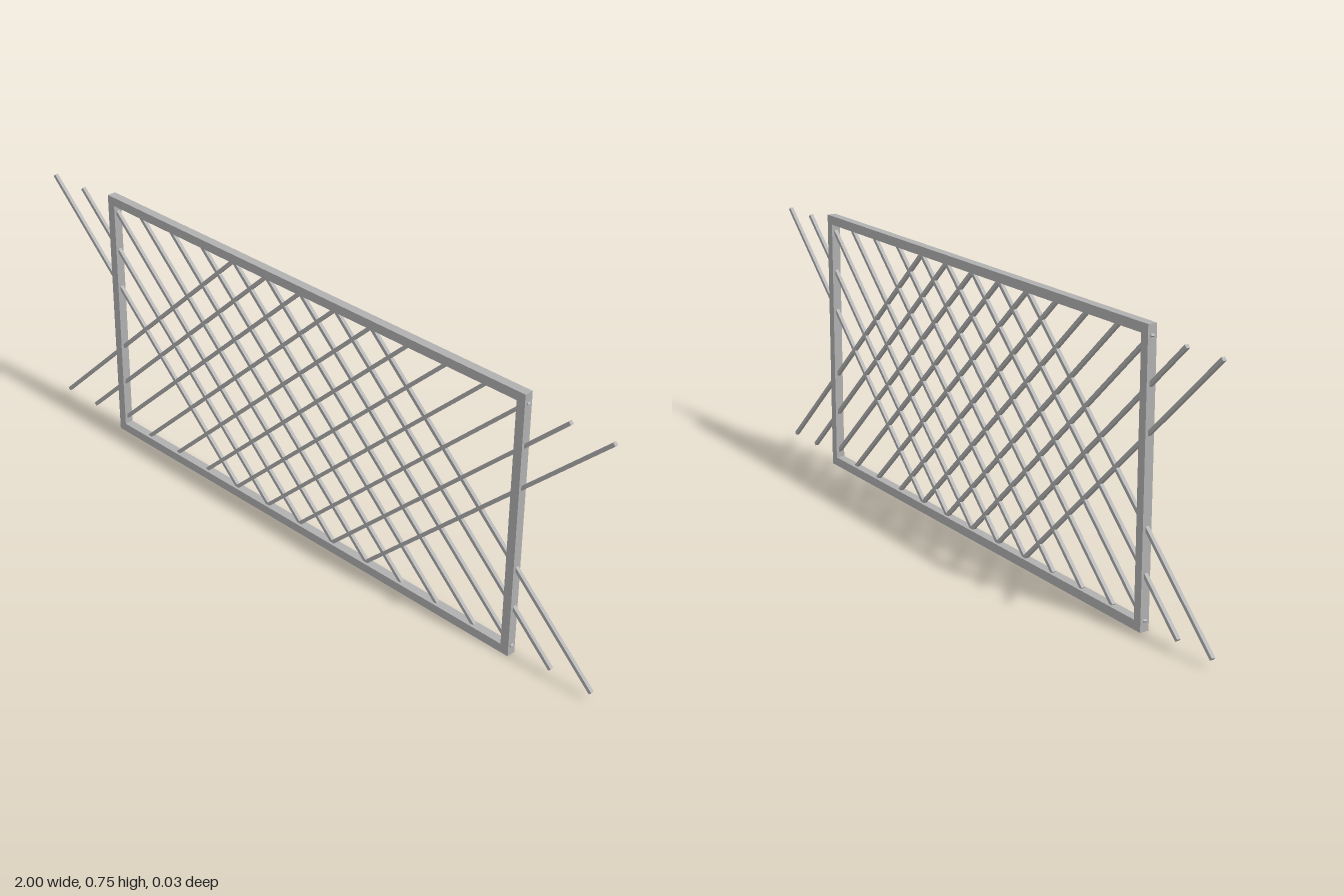
import * as THREE from 'three';

export function createModel() {
  const model = new THREE.Group();
  const steel = new THREE.MeshStandardMaterial({ color: 0xb0b0b0 });
  steel.name = 'grey steel';

  const W = 1.494, H = 0.747, T = 0.025; // frame width, height, bar thickness

  function box(name, parent, size, position, angle = 0) {
    const mesh = new THREE.Mesh(new THREE.BoxGeometry(...size), steel);
    mesh.name = name;
    mesh.position.set(...position);
    mesh.rotation.z = angle;
    parent.add(mesh);
  }

  // Rectangular outer frame
  const frame = new THREE.Group();
  frame.name = 'frame';
  model.add(frame);
  box('bottomRail', frame, [W, T, T], [0, T / 2, 0]);
  box('topRail', frame, [W, T, T], [0, H - T / 2, 0]);
  for (const side of [-1, 1]) {
    box(side > 0 ? 'leftPost' : 'rightPost', frame, [T, H - 2 * T, T], [side * (W - T) / 2, H / 2, 0]);
  }

  // Two crossing sets of diagonal bars; the outermost run past the posts
  const lattice = new THREE.Group();
  lattice.name = 'lattice';
  model.add(lattice);
  const run = 0.748, rise = 0.698, bar = 0.01;
  const length = Math.hypot(run, rise), angle = Math.atan2(rise, run);
  for (let i = -5; i <= 5; i++) {
    for (const side of [-1, 1]) {
      box(side > 0 ? 'risingBar' : 'fallingBar', lattice, [length, bar, bar], [i * 0.1245, H / 2, 0], side * angle);
    }
  }
  return model;
}
